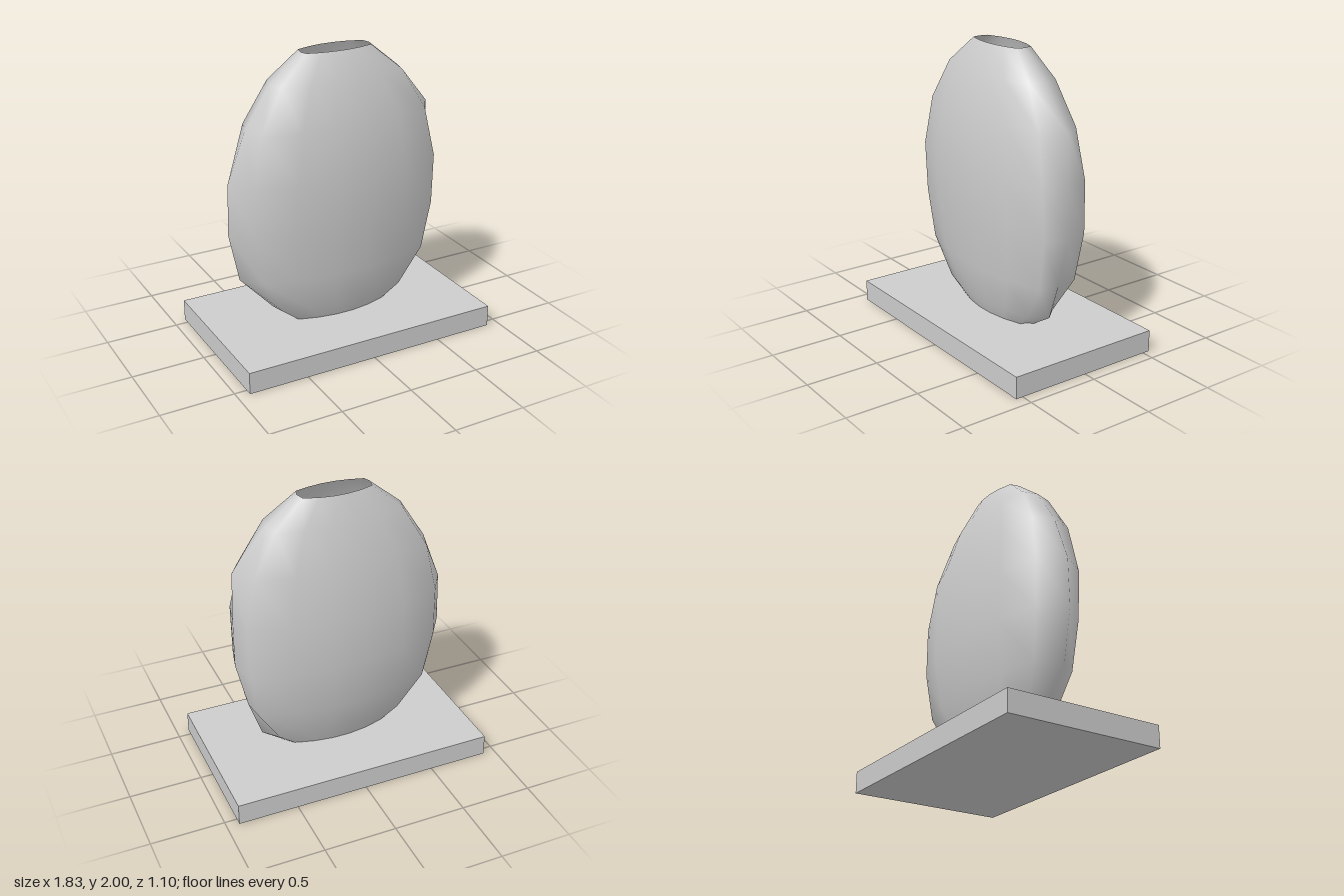
import * as THREE from 'three';

// Each level: [y, left tip +x, right tip -x, shoulder x, front depth, back depth]
const LEVELS = [
  [2.00, 0.25, 0.25, 0.235, 0.09, 0.11],
  [1.82, 0.47, 0.47, 0.44, 0.19, 0.18],
  [1.54, 0.70, 0.65, 0.60, 0.26, 0.25],
  [1.20, 0.71, 0.78, 0.67, 0.30, 0.295],
  [0.85, 0.71, 0.79, 0.67, 0.275, 0.30],
  [0.51, 0.63, 0.72, 0.61, 0.245, 0.26],
  [0.25, 0.54, 0.48, 0.45, 0.19, 0.175],
  [0.07, 0.25, 0.25, 0.235, 0.10, 0.10],
];

// Fourteen-sided flattened ring, as fractions of shoulder width and depth
const SIDE = [[1, 0.57], [0.59, 0.86], [0.19, 1]];

function ring([y, left, right, shoulder, front, back]) {
  const half = [...SIDE, ...SIDE.map(([x, z]) => [-x, z]).reverse()];
  return [
    [left, y, 0],
    ...half.map(([x, z]) => [x * shoulder, y, -z * back]),
    [-right, y, 0],
    ...half.slice().reverse().map(([x, z]) => [x * shoulder, y, z * front]),
  ];
}

// Smooth open shell lofted through the rings
function loft(rings) {
  const n = rings[0].length;
  const index = [];
  for (let i = 0; i < rings.length - 1; i++) {
    for (let k = 0; k < n; k++) {
      const a = i * n + k, b = i * n + (k + 1) % n;
      index.push(a, a + n, b + n, a, b + n, b);
    }
  }
  const geometry = new THREE.BufferGeometry();
  geometry.setAttribute('position', new THREE.Float32BufferAttribute(rings.flat(2), 3));
  geometry.setIndex(index);
  geometry.computeVertexNormals();
  return geometry;
}

export function createModel() {
  const model = new THREE.Group();
  const stone = new THREE.MeshStandardMaterial({ color: 0xcccccc, side: THREE.DoubleSide });
  stone.name = 'pale grey';

  // Flattened, slightly uneven hollow body, open at the top
  const body = new THREE.Mesh(loft(LEVELS.map(ring)), stone);
  body.name = 'body';

  // Rectangular plinth
  const base = new THREE.Mesh(new THREE.BoxGeometry(1.83, 0.15, 1.1), stone);
  base.name = 'base';
  base.position.y = 0.075;

  model.add(body, base);
  return model;
}
